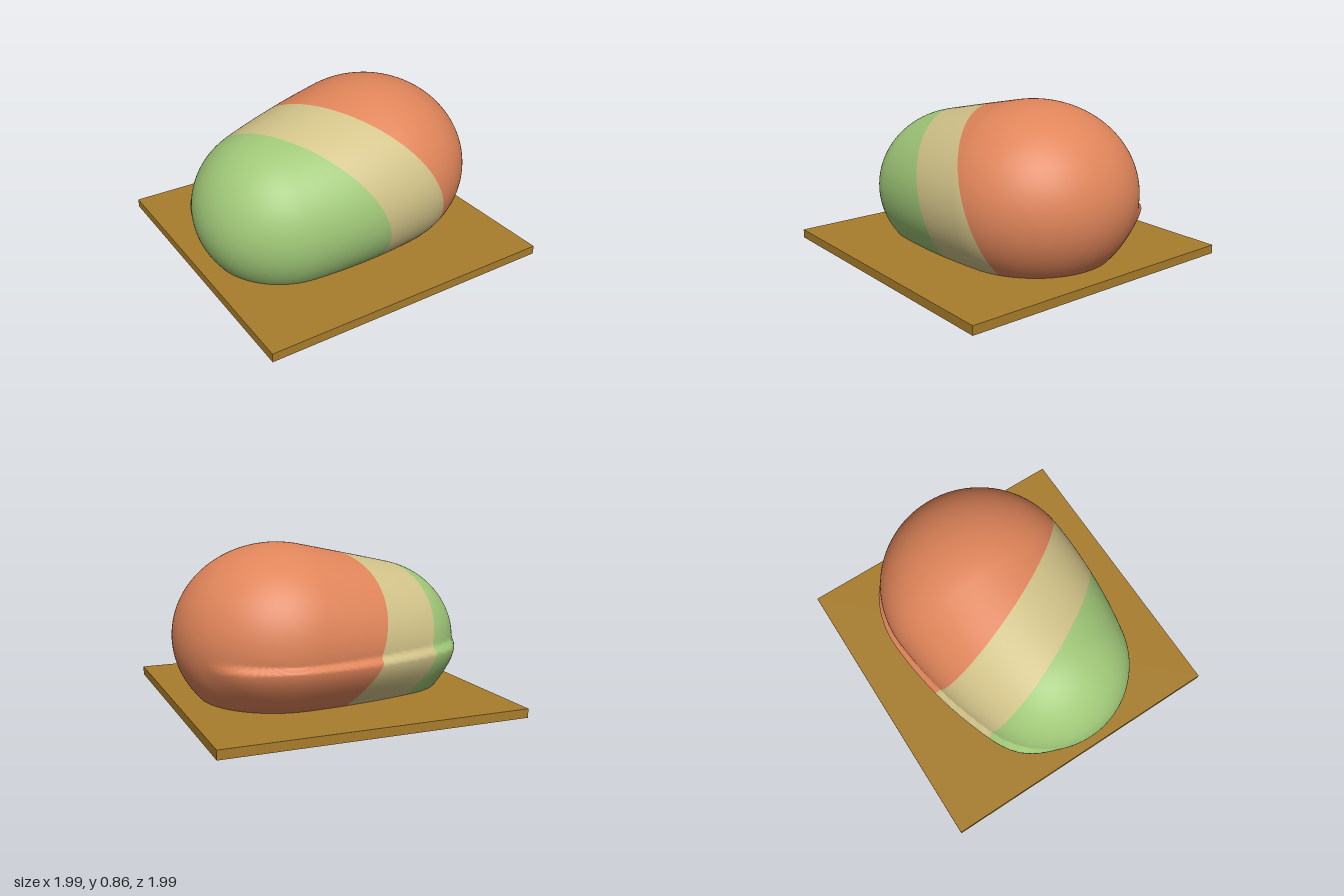
import * as THREE from 'three';

const paint = (name, color) => {
  const m = new THREE.MeshStandardMaterial({ color });
  m.name = name;
  return m;
};

// Swept ellipsoid from the small end to the large end
const SPINE = Array.from({ length: 25 }, (_, i) => {
  const t = i / 24, mix = (a, b) => a + (b - a) * t;
  return {
    x: mix(-0.3, 0.24), y: mix(0.3, 0.37), z: mix(0.12, -0.07),
    r: mix(0.48, 0.56) + 0.08 * t * (1 - t), h: mix(0.44, 0.495),
  };
});
const inside = (p) => SPINE.some((s) =>
  ((p.x - s.x) / s.r) ** 2 + ((p.y - s.y) / s.h) ** 2 + ((p.z - s.z) / s.r) ** 2 < 1);

// Surface point along a direction from the middle of the body
const CORE = new THREE.Vector3(0, 0.35, 0);
function surfacePoint(dir) {
  let lo = 0, hi = 1.3;
  const p = new THREE.Vector3();
  for (let k = 0; k < 18; k++) {
    const mid = (lo + hi) / 2;
    p.copy(CORE).addScaledVector(dir, mid);
    if (inside(p)) lo = mid; else hi = mid;
  }
  return p;
}

// Ledge along the lower back, and a flat base
function addLedge(p) {
  const len = Math.hypot(p.x, p.z) || 1;
  const back = (-0.35 * p.x - 0.94 * p.z) / len;
  const w = 0.034 * THREE.MathUtils.smoothstep(back, 0.25, 0.6)
    * (1 - THREE.MathUtils.smoothstep(p.y, 0.285, 0.31))
    * THREE.MathUtils.smoothstep(p.y, 0.06, 0.27);
  p.x += (p.x / len) * w;
  p.z += (p.z / len) * w;
  p.y = Math.max(p.y, 0.03);
  return p;
}

// Slightly curved colour boundaries across the body
const band = (p, base, bend, x, y, z) => p.x + 0.39 * p.y - 1.05 * p.z - base
  - bend * ((p.x - x) ** 2 + (p.y - y) ** 2 + (p.z - z) ** 2);
const largeEdge = (p) => band(p, 0.16, 0.2, 0.2, 0.7, 0.3);
const smallEdge = (p) => band(p, -0.29, 0.12, 0, 0.6, 0.5);

function bodyGeometry() {
  const n = new THREE.Vector3(1, 0.39, -1.05).normalize();
  const u = new THREE.Vector3(0, 1, 0).cross(n).normalize();
  const v = n.clone().cross(u);
  const direction = (a, b) => new THREE.Vector3()
    .addScaledVector(n, Math.cos(a))
    .addScaledVector(u, Math.sin(a) * Math.cos(b))
    .addScaledVector(v, Math.sin(a) * Math.sin(b));
  const findEdge = (edge, b) => {
    let lo = 0.05, hi = Math.PI - 0.05;
    for (let k = 0; k < 14; k++) {
      const mid = (lo + hi) / 2;
      if (edge(surfacePoint(direction(mid, b))) > 0) lo = mid; else hi = mid;
    }
    return (lo + hi) / 2;
  };

  const cols = 180, zoneRows = [48, 28, 44];
  const rows = zoneRows.reduce((a, b) => a + b);
  const positions = [], index = [];
  const stops = Array.from({ length: cols }, (_, i) => {
    const b = (i / cols) * Math.PI * 2;
    return [0, findEdge(largeEdge, b), findEdge(smallEdge, b), Math.PI];
  });
  for (let j = 0; j <= rows; j++) {
    let zone = 0, row = j;
    while (zone < 2 && row > zoneRows[zone]) row -= zoneRows[zone++];
    for (let i = 0; i < cols; i++) {
      const a = THREE.MathUtils.lerp(stops[i][zone], stops[i][zone + 1], row / zoneRows[zone]);
      const p = addLedge(surfacePoint(direction(a, (i / cols) * Math.PI * 2)));
      positions.push(p.x, p.y, p.z);
    }
  }
  for (let j = 0; j < rows; j++) {
    for (let i = 0; i < cols; i++) {
      const k = (i + 1) % cols;
      const a = j * cols + i, b = (j + 1) * cols + i, c = (j + 1) * cols + k, d = j * cols + k;
      index.push(a, b, c, a, c, d);
    }
  }
  const geo = new THREE.BufferGeometry();
  geo.setAttribute('position', new THREE.Float32BufferAttribute(positions, 3));
  geo.setIndex(index);
  geo.computeVertexNormals();
  let start = 0;
  zoneRows.forEach((r, zone) => {
    geo.addGroup(start, r * cols * 6, zone);
    start += r * cols * 6;
  });
  return geo;
}

export function createModel() {
  const group = new THREE.Group();
  group.name = 'roundedBodyOnBoard';

  // Square board, turned on the spot
  const board = new THREE.Mesh(new THREE.BoxGeometry(1.64, 0.048, 1.64), paint('ochre', 0xa87d2c));
  board.name = 'board';
  board.position.y = 0.024;
  board.rotation.y = 0.246;
  group.add(board);

  // Rounded body in three colour zones
  const body = new THREE.Mesh(bodyGeometry(), [
    paint('coral', 0xe0855a), paint('sand', 0xd2c389), paint('leafGreen', 0xa0c878),
  ]);
  body.name = 'body';
  group.add(body);
  return group;
}
